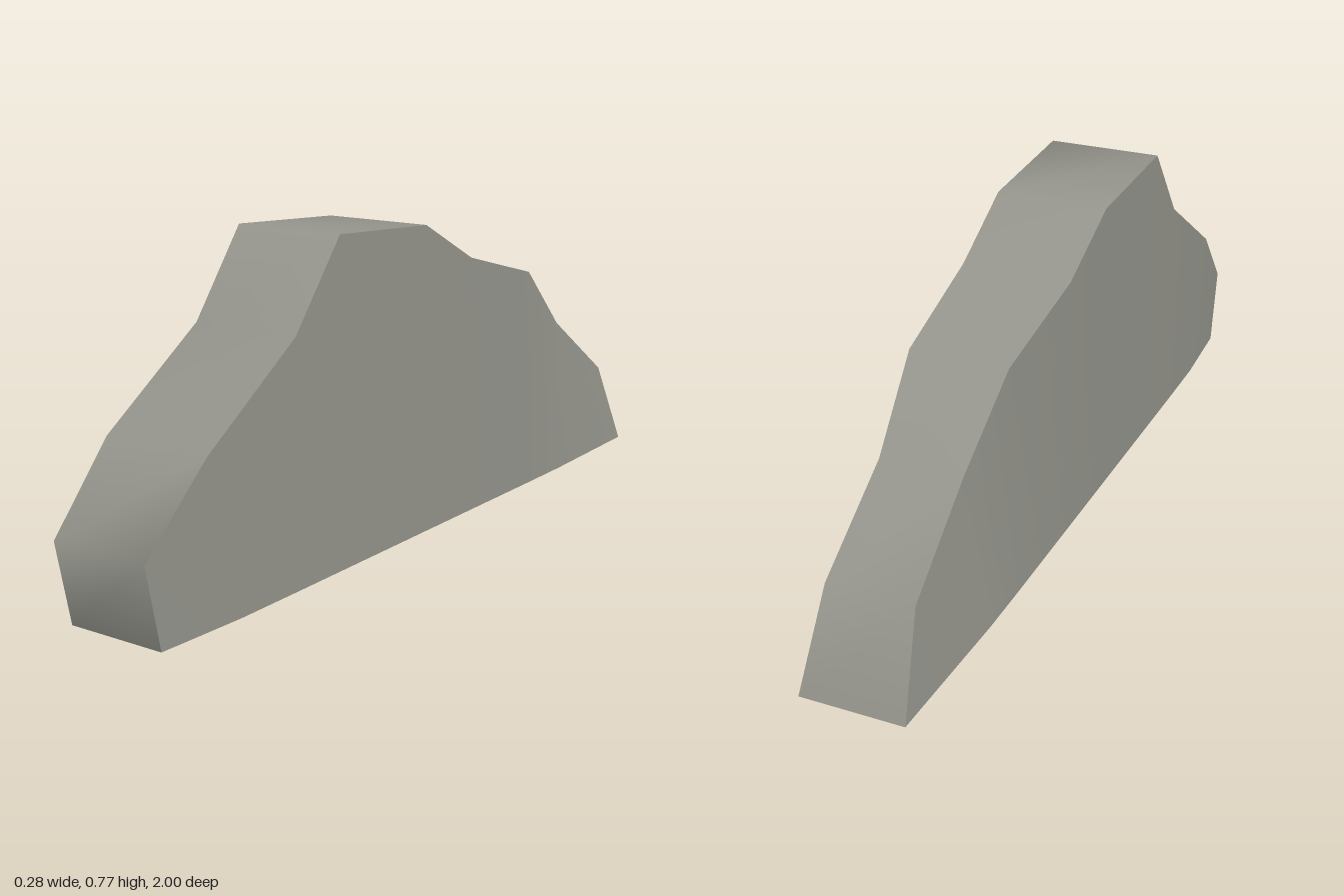
import * as THREE from 'three';

// Outline stations from front to back: [z, y, half width]
const outline = [
  [0.96, 0, 0.125], [1, 0.195, 0.125], [0.825, 0.375, 0.139], [0.535, 0.57, 0.139],
  [0.38, 0.77, 0.142], [0.04, 0.75, 0.139], [-0.165, 0.645, 0.135], [-0.47, 0.565, 0.12],
  [-0.66, 0.395, 0.1], [-0.9, 0.225, 0.105], [-1, 0, 0.125],
];

// Open lower edge below each inner station: [z, half width]
const lowerEdge = [
  [0.96, 0.125], [0.73, 0.138], [0.535, 0.139], [0.38, 0.139], [0.04, 0.139],
  [-0.165, 0.139], [-0.47, 0.139], [-0.62, 0.138], [-1, 0.125],
];

// Smooth strip between two rows of points
function strip(rowA, rowB) {
  const positions = [], index = [];
  rowA.forEach((a, i) => {
    positions.push(...a, ...rowB[i]);
    if (i < rowA.length - 1) {
      const k = i * 2;
      index.push(k, k + 1, k + 3, k, k + 3, k + 2);
    }
  });
  const geometry = new THREE.BufferGeometry();
  geometry.setAttribute('position', new THREE.Float32BufferAttribute(positions, 3));
  geometry.setIndex(index);
  geometry.computeVertexNormals();
  return geometry;
}

export function createModel() {
  const group = new THREE.Group();
  group.name = 'rockShell';
  const stone = new THREE.MeshStandardMaterial({ color: 0x96968e, side: THREE.DoubleSide });
  stone.name = 'stone grey';

  const add = (name, geometry) => {
    const mesh = new THREE.Mesh(geometry, stone);
    mesh.name = name;
    group.add(mesh);
  };
  const upper = (side) => outline.map(([z, y, w]) => [side * w, y, z]);
  const lower = (side) => lowerEdge.map(([z, w]) => [side * w, 0, z]);

  // Band running over the top from front to back
  add('rim', strip(upper(-1), upper(1)));

  // Side walls, open underneath
  add('leftWall', strip(upper(1).slice(1, -1), lower(1)));
  add('rightWall', strip(lower(-1), upper(-1).slice(1, -1)));

  return group;
}
